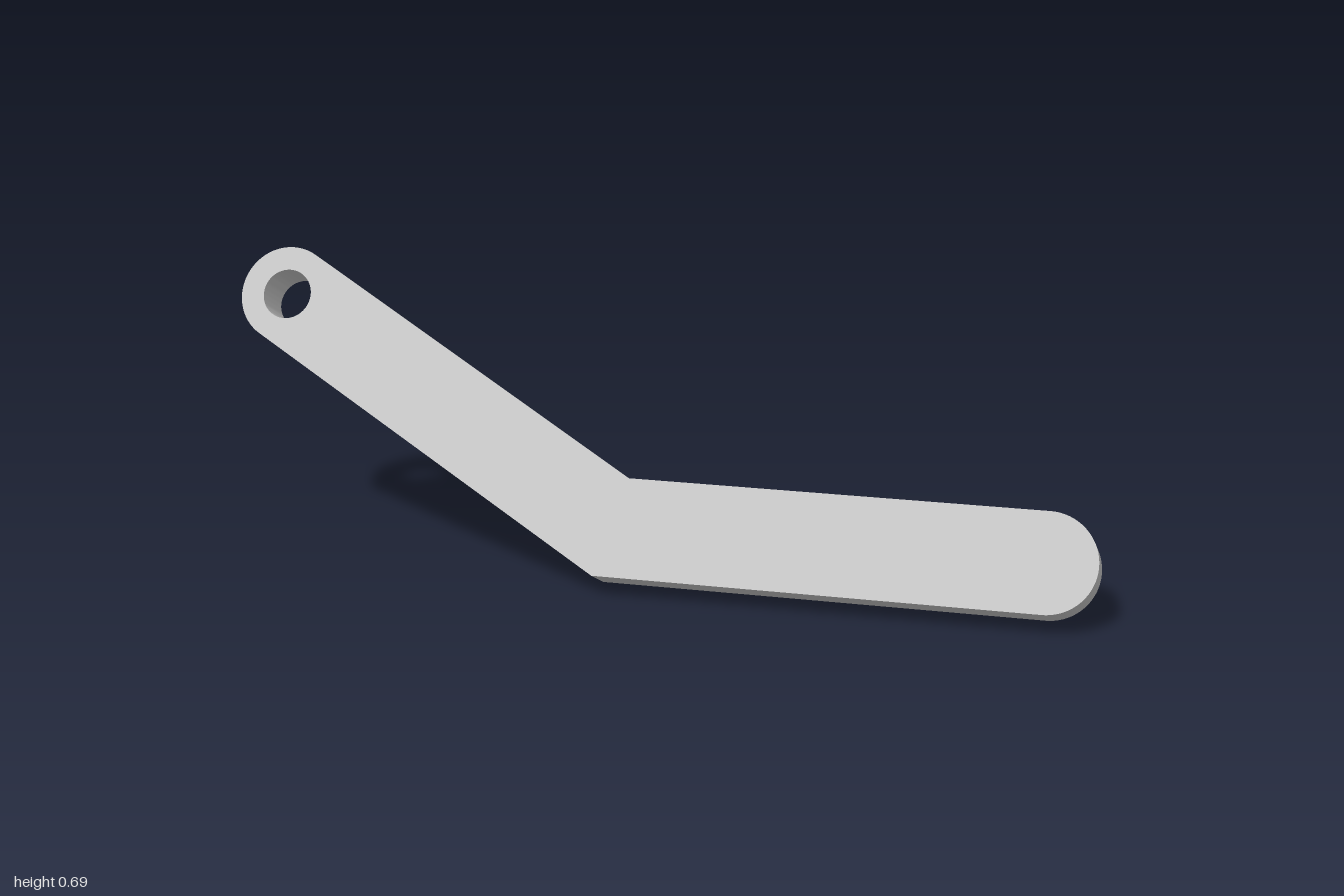
import * as THREE from 'three';
import { toCreasedNormals } from 'three/addons/utils/BufferGeometryUtils.js';

const R = 0.1137;          // half width of the arms
const T = 0.114;           // plate thickness and pin length
const ARM = 1.008;         // bend corner to end centre, along the outer edge
const PIN = 0.0587;        // pin and hole radius
const BEND = Math.PI / 6;

export function createModel() {
  const steel = new THREE.MeshStandardMaterial({ color: 0xcacaca });
  steel.name = 'steel grey';

  const model = new THREE.Group();
  model.name = 'crankedLink';

  // Bent plate outline with rounded ends; the outer bend corner is the origin
  const c = Math.cos(BEND), s = Math.sin(BEND);
  const holeX = -ARM * c + R * s, holeY = ARM * s + R * c;
  const outline = new THREE.Shape();
  outline.moveTo(0, 0);
  outline.lineTo(ARM, 0);
  outline.absarc(ARM, R, R, -Math.PI / 2, Math.PI / 2, false);
  outline.lineTo(2 * R * Math.tan(BEND / 2), 2 * R);
  outline.absarc(holeX, holeY, R, Math.PI / 2 - BEND, 1.5 * Math.PI - BEND, false);
  outline.lineTo(0, 0);
  const hole = new THREE.Path();
  hole.absarc(holeX, holeY, PIN, 0, Math.PI * 2, true);
  outline.holes.push(hole);

  const plateGeo = new THREE.ExtrudeGeometry(outline, { depth: T, bevelEnabled: false, curveSegments: 32 });
  plateGeo.translate(0, 0, -T);
  const plate = new THREE.Mesh(toCreasedNormals(plateGeo, 0.5), steel);
  plate.name = 'bentPlate';
  model.add(plate);

  // Pins at the lower end and at the bend
  const pinGeo = new THREE.CylinderGeometry(PIN, PIN, T, 48);
  pinGeo.rotateX(Math.PI / 2);
  [['endPin', ARM], ['bendPin', R * Math.tan(BEND / 2)]].forEach(([name, x]) => {
    const pin = new THREE.Mesh(pinGeo, steel);
    pin.name = name;
    pin.position.set(x, R, -1.5 * T);
    model.add(pin);
  });

  // Tilt the link so that it rests on the ground
  const u = new THREE.Vector3(0.425, 0, 0.905).normalize();
  const w = new THREE.Vector3(-0.808, 0.45, 0.3795).normalize();
  const v = new THREE.Vector3().crossVectors(w, u).normalize();
  w.crossVectors(u, v);
  model.quaternion.setFromRotationMatrix(new THREE.Matrix4().makeBasis(u, v, w));
  model.position.set(-0.262, 0.053, 0.001);
  return model;
}
